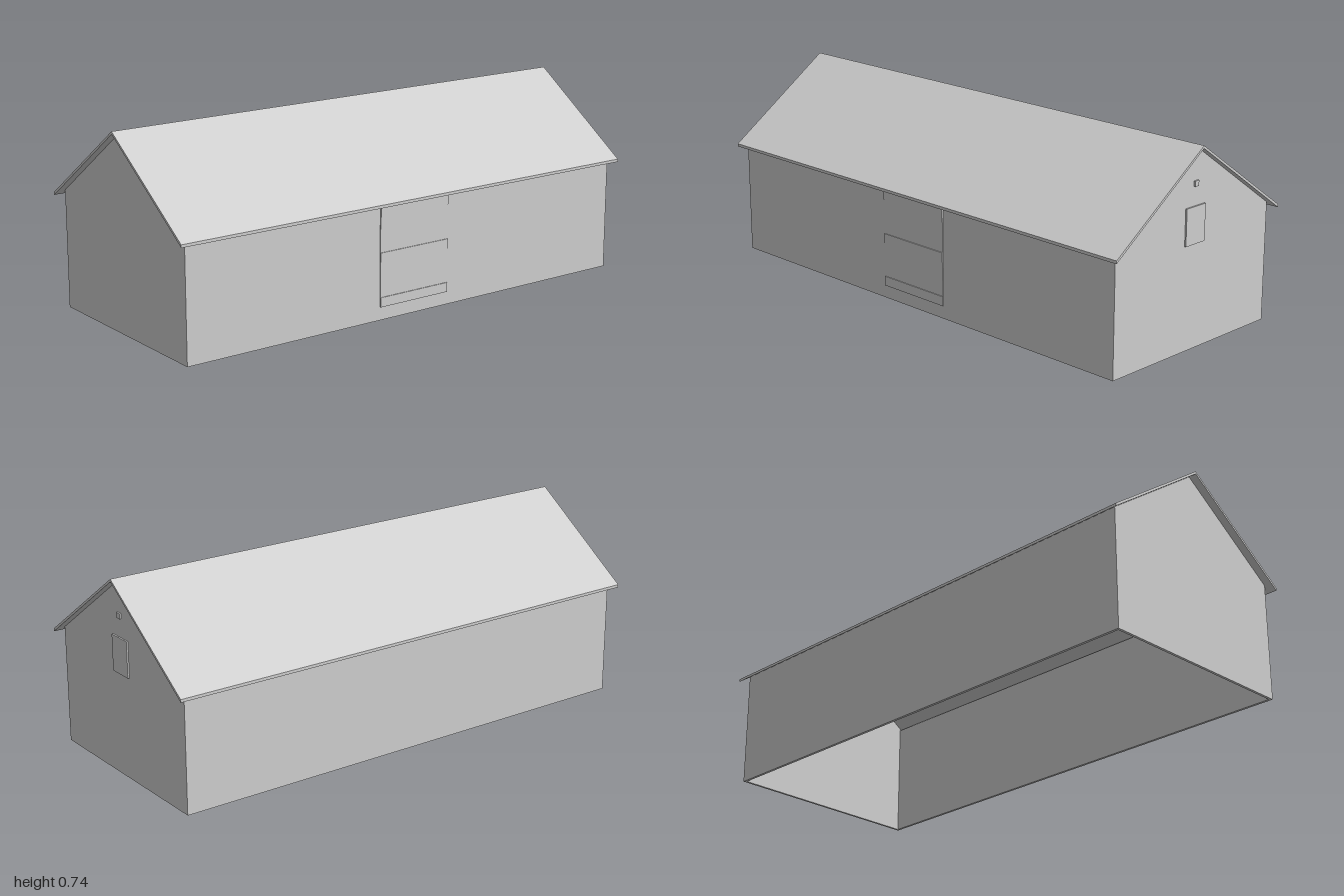
import * as THREE from 'three';

const HALF_LENGTH = 0.97, HALF_WIDTH = 0.405, WALL = 0.01;
const EAVE = 0.445, RIDGE = 0.727;

export function createModel() {
  const barn = new THREE.Group();
  barn.name = 'barn';
  const paleGrey = new THREE.MeshStandardMaterial({ color: 0xcccccc });
  paleGrey.name = 'paleGrey';

  const add = (name, geometry, x = 0, y = 0, z = 0) => {
    const mesh = new THREE.Mesh(geometry, paleGrey);
    mesh.name = name;
    mesh.position.set(x, y, z);
    barn.add(mesh);
    return mesh;
  };
  const box = (name, w, h, d, x, y, z) => add(name, new THREE.BoxGeometry(w, h, d), x, y, z);

  // Extrudes a (z, y) cross-section along x, centred on x = 0
  const extrudeAlongX = (points, length) => {
    const shape = new THREE.Shape(points.map(([z, y]) => new THREE.Vector2(z, y)));
    return new THREE.ExtrudeGeometry(shape, { depth: length, bevelEnabled: false })
      .translate(0, 0, -length / 2)
      .rotateY(-Math.PI / 2);
  };

  // Gable ends
  const gable = extrudeAlongX([
    [-HALF_WIDTH, 0], [HALF_WIDTH, 0], [HALF_WIDTH, EAVE], [0, RIDGE], [-HALF_WIDTH, EAVE],
  ], WALL);
  for (const side of [1, -1]) {
    add(side > 0 ? 'leftGable' : 'rightGable', gable, side * (HALF_LENGTH - WALL / 2));
  }

  // Long walls; the building is open underneath
  for (const side of [1, -1]) {
    box(side > 0 ? 'frontWall' : 'backWall', 2 * (HALF_LENGTH - WALL), EAVE, WALL,
      0, EAVE / 2, side * (HALF_WIDTH - WALL / 2));
  }

  // Thin overhanging roof
  add('roof', extrudeAlongX([
    [-0.433, 0.425], [0, RIDGE], [0.433, 0.425], [0.433, 0.436], [0, 0.737], [-0.433, 0.436],
  ], 2));

  // Front door with three rails
  box('frontDoor', 0.31, 0.37, 0.003, 0, 0.235, HALF_WIDTH + 0.0015);
  for (const y of [0.068, 0.235, 0.402]) {
    box('doorRail', 0.31, 0.036, 0.006, 0, y, HALF_WIDTH + 0.003);
  }

  // Loft hatch and small plate high on the gable
  box('loftHatch', 0.006, 0.135, 0.1, HALF_LENGTH + 0.003, 0.4525, 0);
  box('gablePlate', 0.006, 0.02, 0.02, HALF_LENGTH + 0.003, 0.6, 0);

  return barn;
}
